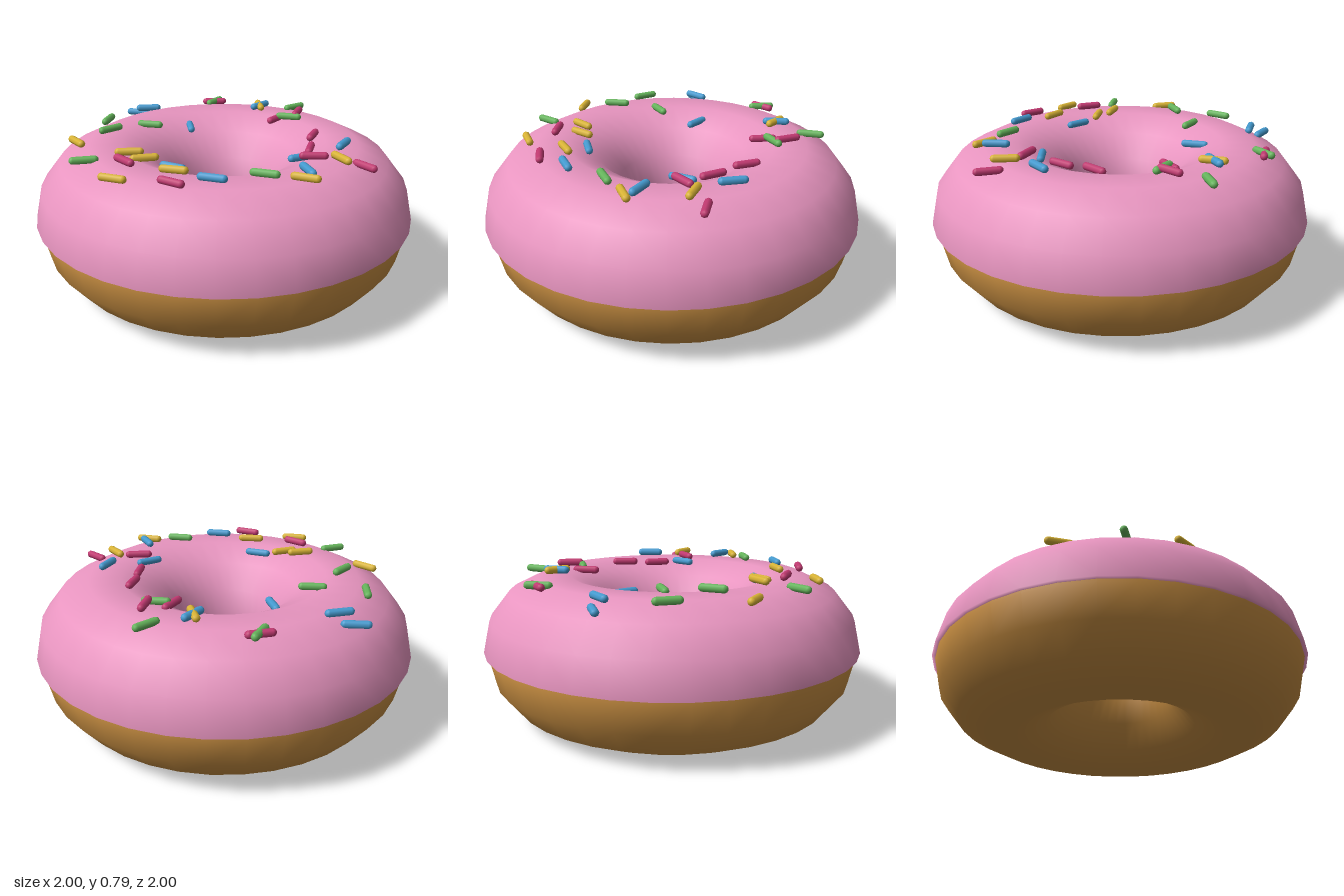
import * as THREE from 'three';

const RING = 0.62;      // radius of the ring's centre line
const ICING = 0.38;     // radius of the icing's cross-section
const ICING_Y = 0.367;  // height of the icing's lower edge
const SIDES = 36;

const paint = (color, side = THREE.FrontSide) => {
  const material = new THREE.MeshStandardMaterial({ side });
  material.color.set(color);
  return material;
};

// Sprinkles by colour: x, z and heading in degrees (from +x towards +z)
const SPRINKLES = [
  ['blue', 0x459bd0, [
    [0.13, -0.82, 60], [0.135, -0.735, 42], [0.135, -0.38, -50], [0.57, -0.22, 3], [-0.435, 0.06, 76],
    [-0.5, 0.38, 66], [-0.13, 0.635, -60], [0.06, 0.46, 25], [0.29, 0.555, -12]]],
  ['green', 0x66b55c, [
    [-0.18, -0.73, -30], [-0.335, -0.52, 7], [-0.085, -0.48, 60], [0.52, -0.545, -8], [0.74, -0.09, 13],
    [0.525, 0.03, 62], [-0.7, -0.285, 36], [-0.3, 0.52, 66]]],
  ['yellow', 0xd9b436, [
    [-0.535, -0.56, -80], [0.565, -0.22, -50], [-0.495, -0.185, 44], [-0.485, -0.085, 36], [-0.76, 0, 68],
    [-0.535, 0.17, 62], [-0.2, 0.675, 70], [0.11, 0.66, -70]]],
  ['red', 0xc23a72, [
    [0.525, -0.55, 42], [0.48, -0.03, -5], [0.6, 0.035, -22], [-0.615, -0.085, -85], [-0.645, 0.265, 80],
    [0.06, 0.535, 50], [0.205, 0.41, -28], [0.37, 0.31, -20], [0.165, 0.76, -80]]],
];

export function createModel() {
  const model = new THREE.Group();
  model.name = 'doughnut';

  // Dough: a full ring, its flat facet resting on the floor
  const dough = new THREE.Mesh(
    new THREE.TorusGeometry(RING, 0.362, 14, SIDES).rotateX(Math.PI / 2),
    paint(0xc98f42));
  dough.name = 'dough';
  dough.position.y = 0.353;
  model.add(dough);

  // Icing: the upper half of a slightly thicker ring, with a narrow lip under each edge
  const profile = [new THREE.Vector2(RING + 0.35, ICING_Y)];
  for (let i = 0; i <= 7; i++) {
    const a = (i / 7) * Math.PI;
    profile.push(new THREE.Vector2(RING + ICING * Math.cos(a), ICING_Y + ICING * Math.sin(a)));
  }
  profile.push(new THREE.Vector2(RING - 0.35, ICING_Y));
  const icing = new THREE.Mesh(
    new THREE.LatheGeometry(profile, SIDES), paint(0xe895c0, THREE.DoubleSide));
  icing.name = 'icing';
  model.add(icing);

  // Sprinkles: small level capsules lying on the icing
  const sprinkles = new THREE.Group();
  sprinkles.name = 'sprinkles';
  const capsule = new THREE.CapsuleGeometry(0.02, 0.105, 4, 8).rotateZ(Math.PI / 2);
  for (const [name, color, places] of SPRINKLES) {
    const material = paint(color);
    for (const [x, z, heading] of places) {
      const sprinkle = new THREE.Mesh(capsule, material);
      sprinkle.name = `${name}Sprinkle`;
      const off = Math.hypot(x, z) - RING;
      sprinkle.position.set(x, ICING_Y + Math.sqrt(ICING ** 2 - off ** 2) + 0.02, z);
      sprinkle.rotation.y = -THREE.MathUtils.degToRad(heading);
      sprinkles.add(sprinkle);
    }
  }
  model.add(sprinkles);
  return model;
}
